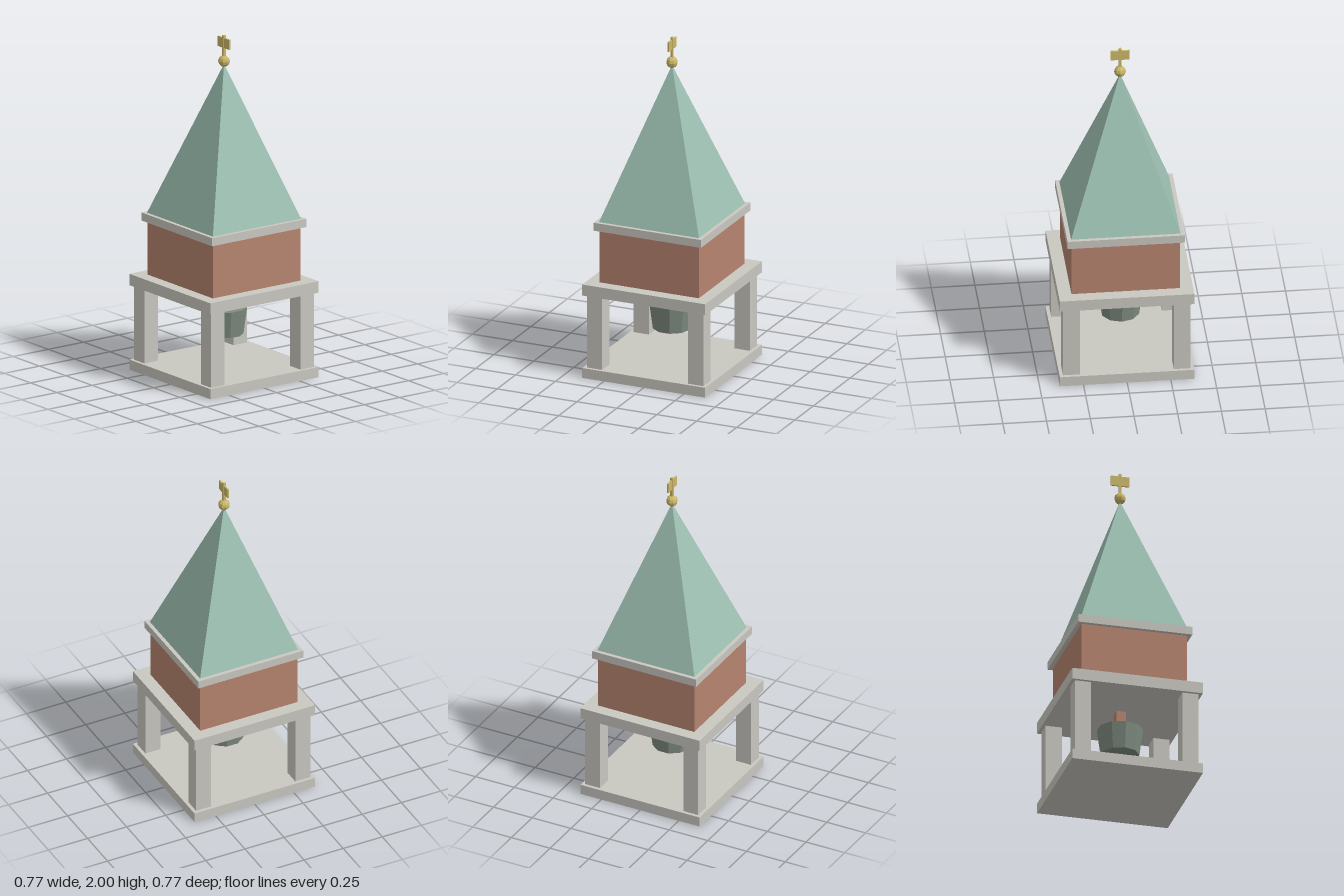
import * as THREE from 'three';

function material(name, color) {
  const m = new THREE.MeshStandardMaterial({ color });
  m.name = name;
  return m;
}

export function createModel() {
  const stone = material('pale stone', 0xc9c7c0);
  const brick = material('brick', 0xb6846f);
  const copper = material('green copper', 0x9dc0b2);
  const bronze = material('dark bronze', 0x7f8c81);
  const gold = material('gold', 0xcbb869);

  const tower = new THREE.Group();
  tower.name = 'bellTower';

  function add(name, geometry, mat, x = 0, y = 0, z = 0) {
    const mesh = new THREE.Mesh(geometry, mat);
    mesh.name = name;
    mesh.position.set(x, y, z);
    tower.add(mesh);
    return mesh;
  }
  // Box given by its bottom and top heights
  function block(name, mat, w, d, y0, y1, x = 0, z = 0) {
    return add(name, new THREE.BoxGeometry(w, y1 - y0, d), mat, x, (y0 + y1) / 2, z);
  }
  // Faceted geometry: unshared corners with one normal per face
  function faceted(geometry) {
    const g = geometry.toNonIndexed();
    g.computeVertexNormals();
    return g;
  }

  // Open belfry: floor, four corner posts and the slab they carry
  block('floorSlab', stone, 0.77, 0.77, 0, 0.06);
  for (const x of [-1, 1]) {
    for (const z of [-1, 1]) {
      block('cornerPost', stone, 0.096, 0.096, 0.06, 0.5, x * 0.317, z * 0.317);
    }
  }
  block('upperSlab', stone, 0.77, 0.77, 0.5, 0.567);

  // Bell and its hanger
  block('bellHanger', brick, 0.058, 0.058, 0.394, 0.5);
  add('bell', faceted(new THREE.CylinderGeometry(0.132, 0.111, 0.156, 10)), bronze, 0, 0.316, 0);

  // Brick storey and cornice
  block('brickStorey', brick, 0.622, 0.622, 0.567, 0.885);
  block('cornice', stone, 0.672, 0.672, 0.885, 0.933);

  // Pyramid roof, turned so its faces look along the axes
  const roof = new THREE.ConeGeometry(0.313 * Math.SQRT2, 0.897, 4).rotateY(Math.PI / 4);
  add('roof', faceted(roof), copper, 0, 0.933 + 0.897 / 2, 0);

  // Finial ball, mast and weather vane
  add('finialBall', faceted(new THREE.SphereGeometry(0.034, 8, 6)), gold, 0, 1.848, 0);
  block('vaneMast', gold, 0.015, 0.015, 1.85, 2);
  block('vane', gold, 0.107, 0.01, 1.926, 1.985);

  return tower;
}
